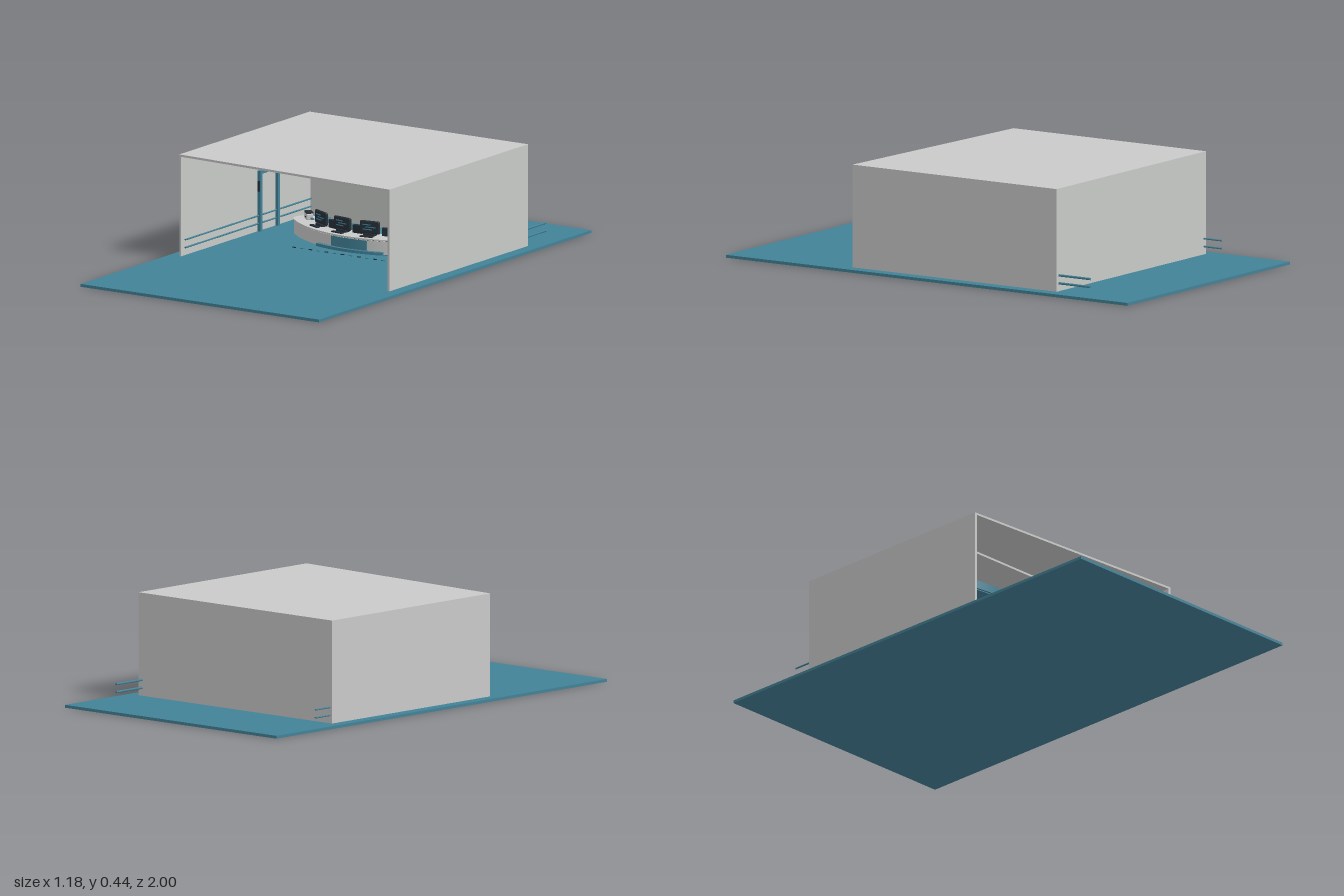
import * as THREE from 'three';
import { toCreasedNormals } from 'three/addons/utils/BufferGeometryUtils.js';
import { RoundedBoxGeometry } from 'three/addons/geometries/RoundedBoxGeometry.js';

const mat = (name, color) => new THREE.MeshStandardMaterial({ name, color });

export function createModel() {
  const grey = mat('wall grey', 0xc8cac8);
  const teal = mat('teal', 0x438297);
  const dark = mat('dark slate', 0x252f38);
  const root = new THREE.Group();
  root.name = 'studioSet';

  const add = (name, geo, material, parent = root) => {
    const m = new THREE.Mesh(geo, material);
    m.name = name;
    parent.add(m);
    return m;
  };
  // Box given by its limits on each axis
  const box = (name, material, x0, x1, y0, y1, z0, z1, parent = root) => {
    const m = add(name, new THREE.BoxGeometry(x1 - x0, y1 - y0, z1 - z0), material, parent);
    m.position.set((x0 + x1) / 2, (y0 + y1) / 2, (z0 + z1) / 2);
    return m;
  };
  const rounded = (name, material, x0, x1, y0, y1, z0, z1, r, parent = root) => {
    const m = add(name, new RoundedBoxGeometry(x1 - x0, y1 - y0, z1 - z0, 2, r), material, parent);
    m.position.set((x0 + x1) / 2, (y0 + y1) / 2, (z0 + z1) / 2);
    return m;
  };
  // Plan outline extruded upwards
  const slab = (name, material, shape, y0, y1) => {
    const geo = new THREE.ExtrudeGeometry(shape, { depth: y1 - y0, bevelEnabled: false, curveSegments: 28 });
    geo.rotateX(-Math.PI / 2);
    return add(name, toCreasedNormals(geo, 0.5), material).translateY(y0);
  };
  // Curved slab bowing to the front, optionally with round ends
  const ARC_Z = -0.62;
  const arcSlab = (name, material, r0, r1, half, y0, y1, round) => {
    const s = -Math.PI / 2 - half, e = -Math.PI / 2 + half;
    const rm = (r0 + r1) / 2, hw = (r1 - r0) / 2, c = -ARC_Z;
    const shape = new THREE.Shape();
    shape.absarc(0, c, r1, s, e, false);
    if (round) shape.absarc(rm * Math.cos(e), c + rm * Math.sin(e), hw, e, e + Math.PI, false);
    shape.absarc(0, c, r0, e, s, true);
    if (round) shape.absarc(rm * Math.cos(s), c + rm * Math.sin(s), hw, s + Math.PI, s + 2 * Math.PI, false);
    return slab(name, material, shape, y0, y1);
  };

  // Floor
  box('floor', teal, -0.59, 0.59, 0, 0.012, -1, 1);

  // Room shell, open at the slanted front
  const X0 = -0.543, X1 = 0.538, BACK = -0.612, T = 0.009;
  const frontZ = x => 0.345 + (x - X0) * 0.0555;
  const plan = (x0, x1) => new THREE.Shape([
    new THREE.Vector2(x0, -frontZ(x0)), new THREE.Vector2(x1, -frontZ(x1)),
    new THREE.Vector2(x1, -BACK), new THREE.Vector2(x0, -BACK)]);
  slab('roof', grey, plan(X0, X1), 0.431, 0.44);
  slab('rightWall', grey, plan(X0, X0 + T), 0.012, 0.431);
  slab('leftWall', grey, plan(X1 - T, X1), 0.012, 0.431);
  box('backWall', grey, X0 + T, X1 - T, 0.012, 0.431, BACK, BACK + T);

  // Inner set wall with three screens
  box('setWall', grey, -0.403, 0.403, 0.012, 0.408, -0.58, -0.56);
  const screens = [[-0.305, -0.16, 0.23, 0.337, grey], [-0.108, 0.105, 0.222, 0.337, dark], [0.16, 0.305, 0.23, 0.337, dark]];
  for (const [a, b, c, d, m] of screens) {
    rounded('screenFrame', m, a, b, c, d, -0.56, -0.54, 0.006);
    box('screenFace', m, a + 0.007, b - 0.007, c + 0.007, d - 0.007, -0.54, -0.537);
  }
  box('lightStrip', dark, -0.25, 0.25, 0.36, 0.364, -0.558, -0.55);

  // Ceiling panel, curved header and hanging lamps
  box('ceilingPanel', grey, -0.445, 0.445, 0.42, 0.429, -0.5, 0.1);
  arcSlab('headerTop', teal, 0.41, 0.545, 0.8, 0.412, 0.42, false);
  arcSlab('header', grey, 0.43, 0.54, 0.78, 0.384, 0.412, false);
  arcSlab('headerTrim', teal, 0.43, 0.542, 0.78, 0.379, 0.384, false);
  arcSlab('headerFascia', teal, 0.535, 0.55, 0.335, 0.383, 0.418, false);
  for (const s of [-1, 1]) {
    const lamp = box('lamp', teal, -0.044, 0.044, 0.32, 0.35, -0.03, 0.03);
    lamp.position.x = s * 0.339;
    lamp.position.z = -0.3;
    box('lampHanger', teal, s * 0.339 - 0.004, s * 0.339 + 0.004, 0.35, 0.42, -0.304, -0.296);
  }
  box('projector', dark, 0.277, 0.367, 0.362, 0.388, -0.46, -0.4);

  // Curved desk
  arcSlab('deskPlinth', teal, 0.47, 0.548, 0.305, 0.02, 0.032, false);
  arcSlab('deskFoot', teal, 0.45, 0.51, 0.5, 0.012, 0.02, false);
  arcSlab('deskBody', grey, 0.43, 0.53, 0.76, 0.02, 0.075, true);
  arcSlab('deskTop', grey, 0.428, 0.534, 0.76, 0.077, 0.083, true);
  arcSlab('deskSeam', dark, 0.433, 0.528, 0.76, 0.075, 0.077, true);
  arcSlab('deskFrontPanel', teal, 0.52, 0.534, 0.166, 0.028, 0.074, false);

  // Station on the desk: position along the arc from x
  const station = (name, x, r) => {
    const g = new THREE.Group();
    g.name = name;
    const a = Math.asin(x / r);
    g.position.set(x, 0.083, ARC_Z + r * Math.cos(a));
    g.rotation.y = a;
    root.add(g);
    return g;
  };
  for (const x of [-0.2, -0.068, 0.067, 0.2]) {
    const g = station('monitor', x, 0.475);
    rounded('monitorCase', dark, -0.045, 0.045, 0.008, 0.062, -0.007, 0.007, 0.006, g);
    box('monitorFoot', dark, -0.025, 0.025, 0, 0.009, -0.014, 0.014, g);
    [[-0.03, 0.005, 0.044], [-0.018, 0.028, 0.034], [-0.03, 0.012, 0.024]].forEach(([a, b, y]) =>
      box('monitorStripe', teal, a, b, y, y + 0.004, 0.007, 0.0085, g));
    box('keyboard', dark, -0.028, 0.028, 0, 0.005, 0.024, 0.04, g);
  }
  for (const x of [-0.134, 0, 0.134]) {
    box('deskConsole', dark, -0.024, 0.024, 0, 0.033, -0.01, 0.01, station('console', x, 0.455));
  }
  for (const x of [-0.31, 0.31]) {
    const g = station('deskUnit', x, 0.475);
    rounded('unitBody', grey, -0.02, 0.02, 0, 0.027, -0.014, 0.014, 0.004, g);
    box('unitLid', dark, -0.02, 0.02, 0.027, 0.034, -0.014, 0.014, g);
    box('unitSlot', dark, -0.01, 0.01, 0.01, 0.014, 0.014, 0.0155, g);
  }
  box('switchBox', dark, -0.018, 0.018, 0, 0.018, -0.01, 0.01, station('switch', 0.265, 0.48));
  box('noteCard', teal, -0.012, 0.012, 0.012, 0.018, -0.004, 0.004, station('card', -0.265, 0.48));

  // Floor markers in front of the desk
  for (let i = -6; i <= 6; i++) {
    box('floorMarker', i % 2 ? teal : dark, i * 0.04 - 0.008, i * 0.04 + 0.008, 0.012, 0.015, -0.052, -0.046);
  }

  // Side rails running along the walls and out through the back
  const rails = [[-0.53, -0.70, 0.0035, 0.32], [0.52, -0.767, 0.005, 0.36]];
  for (const [x, end, r, start] of rails) {
    for (const y of [0.045, 0.078]) {
      const rail = add('sideRail', new THREE.CylinderGeometry(r, r, start - end, 10), teal);
      rail.rotation.x = Math.PI / 2;
      rail.position.set(x, y, (start + end) / 2);
    }
  }

  // Door frames on both side walls
  for (const [a, b] of [[-0.534, -0.52], [0.502, 0.529]]) {
    for (const z of [-0.36, -0.23]) box('doorPost', teal, a, b, 0.012, 0.267, z, z + 0.014);
    box('doorLintel', teal, a, b, 0.253, 0.267, -0.346, -0.23);
    box('doorHandle', dark, a + 0.003, b - 0.003, 0.18, 0.225, -0.216, -0.212);
  }
  return root;
}
